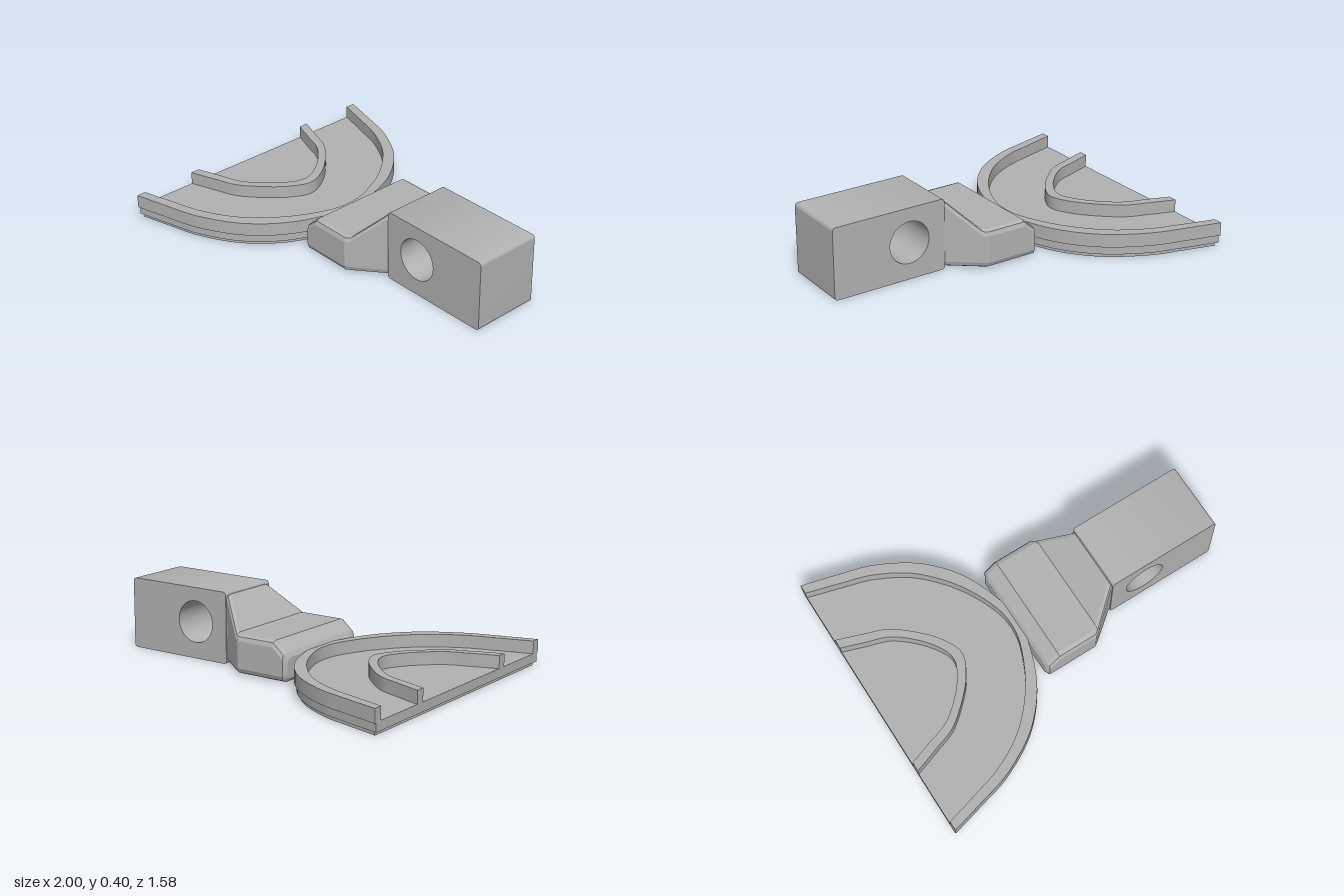
import * as THREE from 'three';
import { toCreasedNormals } from 'three/addons/utils/BufferGeometryUtils.js';

const V2 = (x, y) => new THREE.Vector2(x, y);

// Mirror a half outline (x, z) that ends on the centre line and smooth it.
function archCurve(half, steps = 64) {
  const pts = half.map(([x, z]) => V2(x, z));
  const mirrored = half.slice(0, -1).reverse().map(([x, z]) => V2(x, -z));
  return new THREE.SplineCurve([...pts, ...mirrored]).getPoints(steps);
}

// Extrude a plan outline upwards between two heights.
function slab(points, y0, y1) {
  const geo = new THREE.ExtrudeGeometry(new THREE.Shape(points), { depth: y1 - y0, bevelEnabled: false });
  geo.rotateX(-Math.PI / 2).translate(0, y0, 0);
  return toCreasedNormals(geo, 0.5);
}

// Loft of chamfered rectangles along x; each section is [x, halfWidth, bottom, top].
function chamferedLoft(sections, c) {
  const k = 0.293 * c;
  const pos = [], index = [];
  let n = 0;
  for (const [x, w, b, t] of sections) {
    const right = [[w - c, t], [w - k, t - k], [w, t - c], [w, b + c], [w - k, b + k], [w - c, b]];
    const loop = [...right, ...right.slice().reverse().map(([z, y]) => [-z, y])];
    n = loop.length;
    loop.forEach(([z, y]) => pos.push(x, y, z));
  }
  const last = (sections.length - 1) * n;
  for (let i = 0; i < last; i += n) {
    for (let j = 0; j < n; j++) {
      const a = i + j, b = i + (j + 1) % n;
      index.push(a, b, b + n, a, b + n, a + n);
    }
  }
  for (let j = 1; j < n - 1; j++) {
    index.push(0, j + 1, j, last, last + j, last + j + 1);
  }
  const geo = new THREE.BufferGeometry();
  geo.setAttribute('position', new THREE.Float32BufferAttribute(pos, 3));
  geo.setIndex(index);
  const flat = geo.toNonIndexed();
  flat.computeVertexNormals();
  return flat;
}

export function createModel() {
  const model = new THREE.Group();
  const grey = new THREE.MeshStandardMaterial({ color: 0xb2b2b2 });
  grey.name = 'plain grey';
  const add = (name, geo) => {
    const mesh = new THREE.Mesh(geo, grey);
    mesh.name = name;
    model.add(mesh);
  };

  // Tray outlines
  const outer = archCurve([[-1, 0.79], [-0.8, 0.737], [-0.61, 0.68], [-0.395, 0.555], [-0.235, 0.37], [-0.145, 0.15], [-0.125, 0]]);
  const outerInside = archCurve([[-1, 0.738], [-0.8, 0.682], [-0.636, 0.63], [-0.45, 0.52], [-0.29, 0.34], [-0.19, 0.14], [-0.165, 0]]);
  const inner = archCurve([[-1, 0.423], [-0.85, 0.37], [-0.715, 0.315], [-0.565, 0.18], [-0.49, 0.07], [-0.47, 0]]);
  const innerInside = archCurve([[-1, 0.37], [-0.87, 0.325], [-0.74, 0.278], [-0.62, 0.175], [-0.545, 0.07], [-0.525, 0]]);
  const shrink = (pts, s, x0) => pts.map(p => V2(Math.max(x0, -1 + (p.x + 1) * s), p.y * s));
  const ring = (a, b) => [...a, ...b.slice().reverse()];

  // Tray: stepped base and two curved walls
  add('trayFoot', slab(shrink(outer, 0.97, -0.985), 0, 0.02));
  add('trayFloor', slab(shrink(outer, 0.985, -1), 0.02, 0.07));
  add('outerWall', slab(ring(outer, outerInside), 0.066, 0.14));
  add('innerWall', slab(ring(inner, innerInside), 0.066, 0.14));

  // Chamfered neck rising from the tray to the block
  add('neck', chamferedLoft([
    [-0.14, 0.302, 0.022, 0.135],
    [-0.125, 0.325, 0.005, 0.16],
    [-0.06, 0.325, 0.005, 0.217],
    [0.165, 0.325, 0.005, 0.217],
    [0.19, 0.308, 0.005, 0.22],
    [0.335, 0.192, 0.005, 0.37],
    [0.345, 0.185, 0.008, 0.38],
    [0.36, 0.183, 0.01, 0.38],
  ], 0.032));

  // Handle block with rounded edges and a through hole
  const x0 = 0.35, x1 = 1, h = 0.395, r = 0.018;
  const side = new THREE.Shape();
  side.absarc(x1 - r, r, r, -Math.PI / 2, 0);
  side.absarc(x1 - r, h - r, r, 0, Math.PI / 2);
  side.absarc(x0 + r, h - r, r, Math.PI / 2, Math.PI);
  side.absarc(x0 + r, r, r, Math.PI, Math.PI * 1.5);
  side.closePath();
  const hole = new THREE.Path();
  hole.absarc(0.56, 0.205, 0.116, 0, Math.PI * 2, true);
  side.holes.push(hole);
  const block = new THREE.ExtrudeGeometry(side, { depth: 0.38, bevelEnabled: false, curveSegments: 24 });
  block.translate(0, 0, -0.19);
  add('handleBlock', toCreasedNormals(block, 0.5));

  return model;
}
